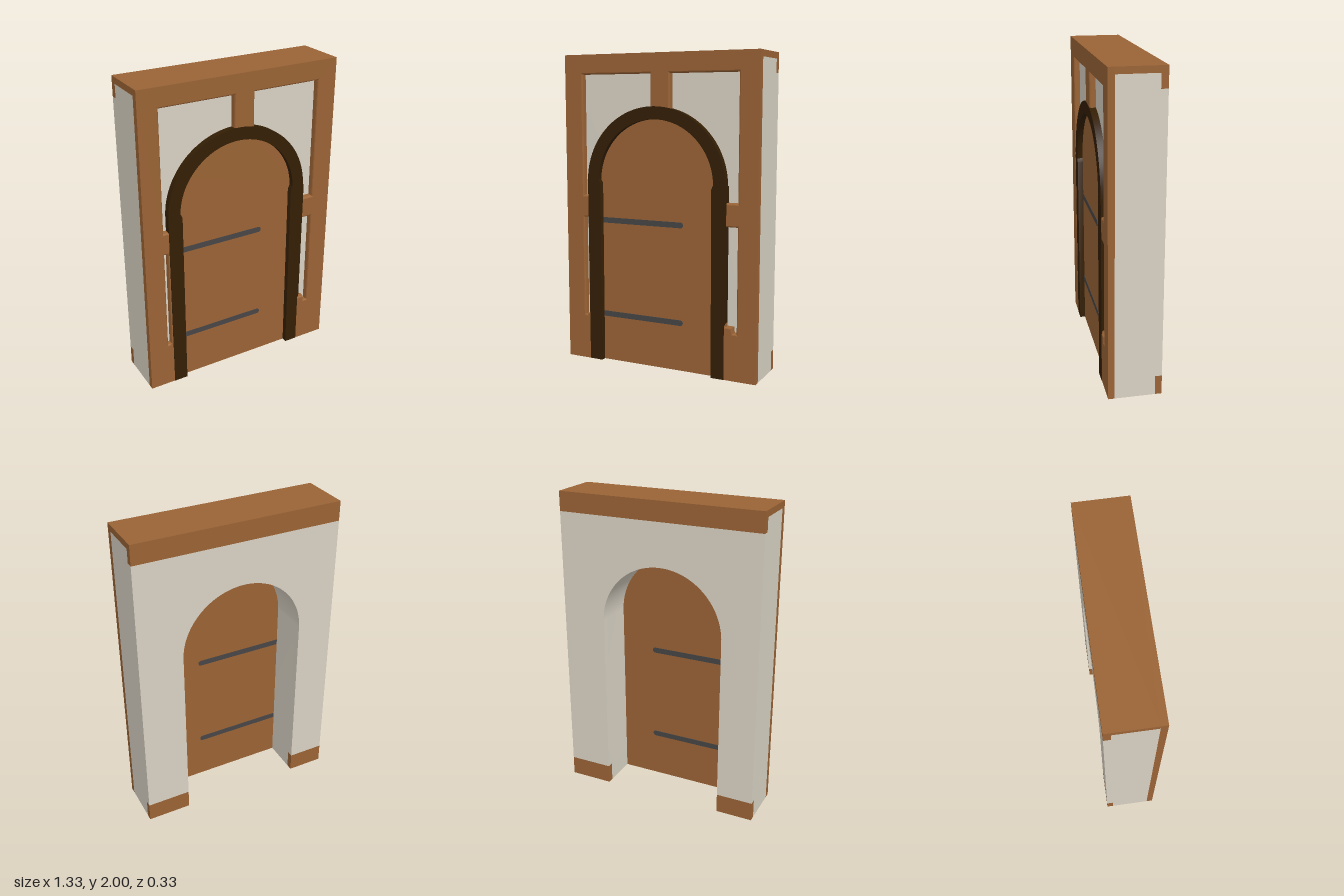
import * as THREE from 'three';
import { toCreasedNormals } from 'three/addons/utils/BufferGeometryUtils.js';

const W = 0.665, BACK = -0.167, BAND = -0.125, PLASTER_FRONT = 0.125;
const CX = -0.023, SPRING = 1.195; // centre of the arch

export function createModel() {
  const group = new THREE.Group();
  const material = (name, color) => {
    const m = new THREE.MeshStandardMaterial({ color });
    m.name = name;
    return m;
  };
  const wood = material('brown wood', 0x9a6335);
  const plaster = material('pale plaster', 0xd9d2c4);
  const darkWood = material('dark wood', 0x331e04);
  const iron = material('grey iron', 0x474546);

  const add = (name, geometry, mat) => {
    const mesh = new THREE.Mesh(geometry, mat);
    mesh.name = name;
    group.add(mesh);
  };
  const extrude = (shape, z0, z1) => {
    const g = new THREE.ExtrudeGeometry(shape, { depth: z1 - z0, bevelEnabled: false, curveSegments: 40 });
    g.translate(0, 0, z0);
    return toCreasedNormals(g, 0.5);
  };
  const box = (x0, x1, y0, y1, z0, z1) =>
    new THREE.BoxGeometry(x1 - x0, y1 - y0, z1 - z0)
      .translate((x0 + x1) / 2, (y0 + y1) / 2, (z0 + z1) / 2);
  const polygon = (points) => new THREE.Shape(points.map(([x, y]) => new THREE.Vector2(x, y)));

  // Wall outline between two heights, open below the arch
  const wallShape = (y0, y1, r) => {
    const s = new THREE.Shape();
    s.moveTo(-W, y0);
    s.lineTo(CX - r, y0);
    s.lineTo(CX - r, SPRING);
    s.absarc(CX, SPRING, r, Math.PI, 0, true);
    s.lineTo(CX + r, y0);
    s.lineTo(W, y0);
    s.lineTo(W, y1);
    s.lineTo(-W, y1);
    s.closePath();
    return s;
  };

  // Plaster wall: full core and a back layer between the wooden bands
  const R = 0.403;
  add('wallCore', extrude(wallShape(0, 1.96, R), BAND, PLASTER_FRONT), plaster);
  add('wallBack', extrude(wallShape(0.125, 1.875, R), BACK, BAND), plaster);

  // Wooden top and back bands
  add('topBoard', box(-W, W, 1.96, 2, BACK, PLASTER_FRONT), wood);
  add('backTopBand', box(-W, W, 1.875, 1.96, BACK, BAND), wood);
  add('backBaseRight', box(-W, CX - R, 0, 0.125, BACK, BAND), wood);
  add('backBaseLeft', box(CX + R, W, 0, 0.125, BACK, BAND), wood);

  // Front timber frame with four plaster openings
  const frame = wallShape(0, 2, 0.43);
  const arcR = 0.455, outer = 0.535;
  for (const [side, post, lowerInner, step] of [[-1, -0.05, -0.51, 0.3], [1, 0.085, 0.462, 0.337]]) {
    const inner = CX + side * arcR;
    const end = Math.acos((post - CX) / arcR);
    const upper = new THREE.Path();
    upper.moveTo(side * outer, 1.1);
    upper.lineTo(inner, 1.1);
    upper.lineTo(inner, SPRING);
    upper.absarc(CX, SPRING, arcR, side < 0 ? Math.PI : 0, end, side < 0);
    upper.lineTo(post, 1.875);
    upper.lineTo(side * outer, 1.875);
    upper.closePath();
    const lower = polygon([
      [side * outer, 0.3], [side * 0.512, 0.3], [side * 0.508, step],
      [lowerInner, step], [lowerInner, 0.955], [side * outer, 0.955],
    ]);
    frame.holes.push(upper, lower);
  }
  const frameGeo = new THREE.ExtrudeGeometry(frame, {
    depth: 0.04, bevelThickness: 0.015, bevelSize: 0.01, bevelOffset: -0.01, bevelSegments: 3, curveSegments: 40,
  });
  frameGeo.translate(0, 0, 0.11);
  // Keep the outside of the frame square, so only its openings are rounded
  const p = frameGeo.attributes.position;
  for (let i = 0; i < p.count; i++) {
    const x = p.getX(i), y = p.getY(i);
    if (Math.abs(x) > 0.6) p.setX(i, Math.sign(x) * W);
    if (y > 1.95) p.setY(i, 2);
    if (y < 0.05) p.setY(i, 0);
    p.setZ(i, Math.max(p.getZ(i), PLASTER_FRONT));
  }
  add('frontFrame', toCreasedNormals(frameGeo, 0.3), wood);

  // Door leaf, set slightly behind the frame
  const door = new THREE.Shape();
  door.moveTo(CX - 0.425, 0);
  door.lineTo(CX + 0.425, 0);
  door.lineTo(CX + 0.425, SPRING);
  door.absarc(CX, SPRING, 0.425, 0, Math.PI, false);
  door.closePath();
  add('door', extrude(door, 0.095, 0.132), wood);

  // Dark arch and jambs around the door
  const arch = new THREE.Shape();
  arch.absarc(CX, SPRING, 0.48, 0, Math.PI, false);
  arch.absarc(CX, SPRING, 0.4, Math.PI, 0, true);
  arch.closePath();
  add('archTrim', extrude(arch, 0.12, 0.1665), darkWood);
  const jambs = {
    rightJamb: [[-0.5, 0], [-0.41, 0], [-0.41, 1.18], [-0.425, 1.21], [-0.503, 1.21]],
    leftJamb: [[0.37, 0], [0.455, 0], [0.455, 0.34], [0.463, 0.36], [0.463, 1.2], [0.38, 1.21], [0.365, 1.18]],
  };
  for (const [name, points] of Object.entries(jambs)) {
    add(name, extrude(polygon(points), 0.12, 0.167), darkWood);
  }

  // Iron straps on both faces of the door
  for (const y of [0.313, 0.94]) {
    const strap = new THREE.Shape();
    strap.moveTo(-0.425, y - 0.018);
    strap.lineTo(0.145, y - 0.018);
    strap.absarc(0.145, y, 0.018, -Math.PI / 2, Math.PI / 2, false);
    strap.lineTo(-0.425, y + 0.018);
    strap.closePath();
    add('frontStrap', extrude(strap, 0.131, 0.134), iron);
    add('backStrap', extrude(strap, 0.093, 0.096), iron);
  }
  return group;
}
